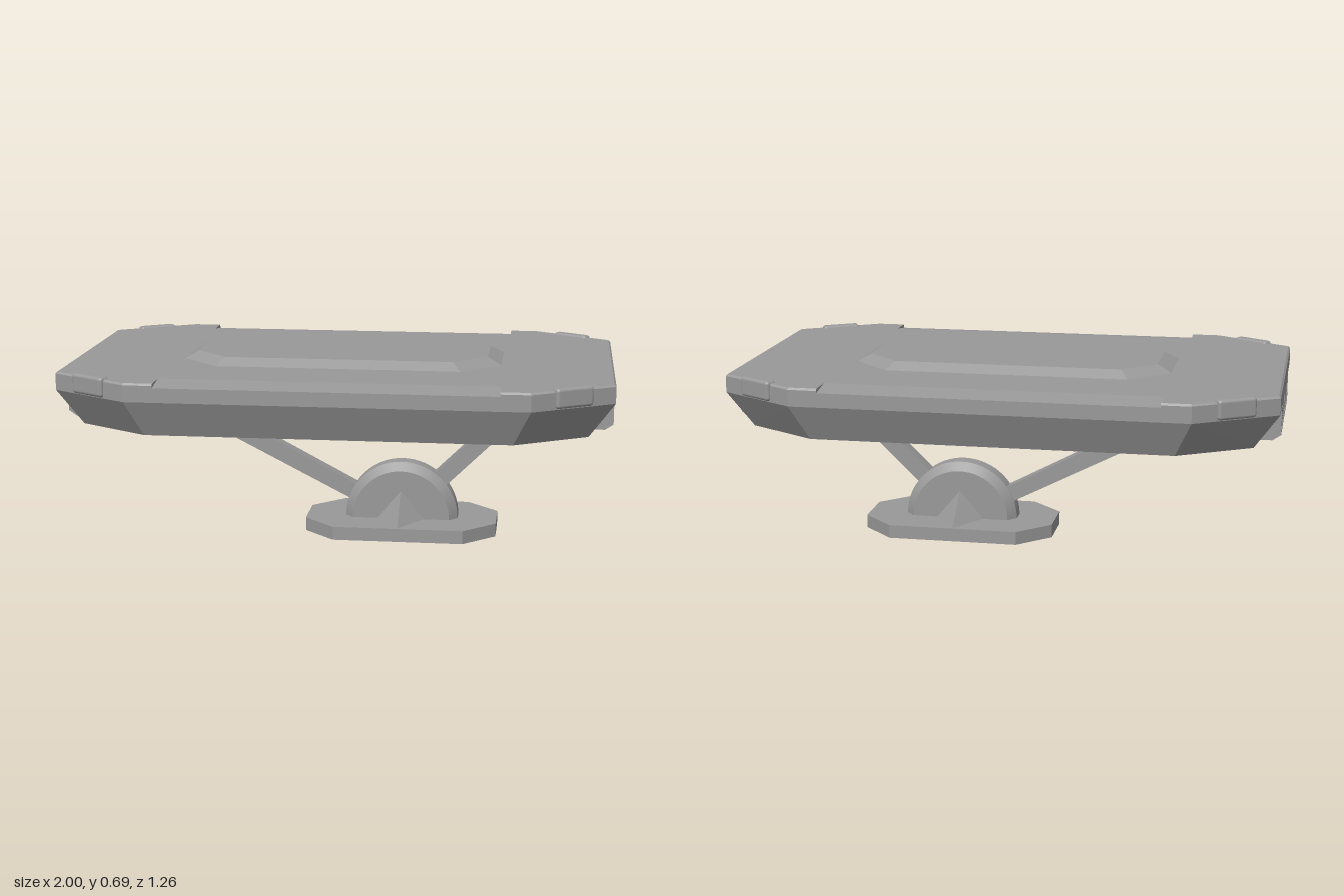
import * as THREE from 'three';
import { toCreasedNormals } from 'three/addons/utils/BufferGeometryUtils.js';
import { RoundedBoxGeometry } from 'three/addons/geometries/RoundedBoxGeometry.js';
import { ConvexGeometry } from 'three/addons/geometries/ConvexGeometry.js';

export function createModel() {
  const model = new THREE.Group();
  const grey = new THREE.MeshStandardMaterial({ color: 0x999999 });
  grey.name = 'grey metal';

  const add = (name, geometry, parent = model) => {
    const mesh = new THREE.Mesh(geometry, grey);
    mesh.name = name;
    parent.add(mesh);
    return mesh;
  };
  const V = (x, y, z) => new THREE.Vector3(x, y, z);
  const shapeOf = (pts) => new THREE.Shape(pts.map(([x, y]) => new THREE.Vector2(x, y)));
  // Outline in x/y, extruded symmetrically along z
  const slab = (pts, depth) =>
    new THREE.ExtrudeGeometry(shapeOf(pts), { depth, bevelEnabled: false }).translate(0, 0, -depth / 2);
  // Octagon ring with half sizes a, b and the start of the cut corners at ca, cb
  const octagon = (y, a, b, ca, cb, cx = 0) => {
    const pts = [];
    for (const sx of [-1, 1]) for (const sz of [-1, 1])
      pts.push(V(cx + sx * a, y, sz * cb), V(cx + sx * ca, y, sz * b));
    return pts;
  };

  // Middle of the table top, its long edges sloping down
  const middle = [];
  for (const [z, y] of [[0.57, 0.47], [0.63, 0.6], [0.63, 0.652], [0.53, 0.667]])
    for (const sx of [-1, 1]) for (const sz of [-1, 1]) middle.push(V(sx * 0.605, y, sz * z));
  add('tableMiddle', new ConvexGeometry(middle));

  // Raised panel on the table
  add('raisedPanel', new ConvexGeometry([
    ...octagon(0.66, 0.605, 0.29, 0.455, 0.14),
    ...octagon(0.694, 0.54, 0.235, 0.42, 0.115),
  ]));

  // Ends of the table: rings of [y, end x, corner x, side z, corner z]
  const rings = [
    [0.47, 0.91, 0.65, 0.57, 0.41],
    [0.6, 1, 0.71, 0.63, 0.45],
    [0.66, 1, 0.71, 0.63, 0.45],
    [0.667, 0.993, 0.707, 0.623, 0.446],
  ];
  for (const sx of [-1, 1]) {
    const pts = [];
    for (const [y, x, cx, z, cz] of rings)
      for (const sz of [-1, 1])
        pts.push(V(sx * 0.605, y, sz * z), V(sx * cx, y, sz * z), V(sx * x, y, sz * cz));
    add('tableEnd', new ConvexGeometry(pts));

    // Rounded pads on the cut corners
    for (const sz of [-1, 1]) {
      const pad = add('cornerPad', new RoundedBoxGeometry(0.15, 0.072, 0.042, 3, 0.012));
      pad.position.set(sx * 0.85, 0.639, sz * 0.532);
      pad.rotation.y = sx * sz * 0.555;
    }

    // Vent housing with two slatted openings
    const vent = new THREE.Group();
    vent.name = 'ventHousing';
    vent.rotation.y = sx > 0 ? 0 : Math.PI;
    model.add(vent);
    add('ventBody', slab([[0.88, 0.6], [0.88, 0.47], [0.97, 0.47], [1, 0.49], [0.985, 0.49], [0.985, 0.6]], 0.58), vent);
    const face = shapeOf([[-0.29, 0.49], [0.29, 0.49], [0.29, 0.6], [-0.29, 0.6]]);
    for (const s of [-1, 1]) {
      const c = s * 0.145;
      face.holes.push(new THREE.Path([[-1, 0.503], [-1, 0.588], [1, 0.588], [1, 0.503]]
        .map(([k, y]) => new THREE.Vector2(c + k * 0.125, y))));
      for (let i = 0; i < 20; i++)
        add('ventSlat', new THREE.BoxGeometry(0.013, 0.085, 0.008)
          .translate(0.9915, 0.5455, c + (i - 9.5) * 0.0125), vent);
    }
    add('ventFrame', new THREE.ExtrudeGeometry(face, { depth: 0.015, bevelEnabled: false })
      .rotateY(Math.PI / 2).translate(0.985, 0, 0), vent);
  }

  // Struts from the dome up to the table
  add('longStrut', slab([[-0.53, 0.472], [-0.68, 0.472], [0.09, 0.08], [0.12, 0.13]], 0.056));
  add('shortStrut', slab([[0.6, 0.472], [0.3, 0.18], [0.34, 0.13], [0.69, 0.472]], 0.056));

  // Half-round pivot with bevelled rims
  const profile = [[0, -0.063], [0.185, -0.063], [0.215, -0.03], [0.215, 0.03], [0.185, 0.063], [0, 0.063]]
    .map(([r, y]) => new THREE.Vector2(r, y));
  const dome = new THREE.LatheGeometry(profile, 32, -Math.PI / 2, Math.PI)
    .rotateX(-Math.PI / 2).translate(0.218, 0.05, 0);
  add('pivotDome', toCreasedNormals(dome, 0.5));

  // Wedge braces at the front and back of the pivot
  for (const sz of [-1, 1])
    add('pivotBrace', new ConvexGeometry([
      V(0.218, 0.16, sz * 0.06), V(0.122, 0.045, sz * 0.06),
      V(0.314, 0.045, sz * 0.06), V(0.218, 0.045, sz * 0.205),
    ]));

  // Foot plate
  add('footPlate', new ConvexGeometry([
    ...octagon(0, 0.362, 0.208, 0.244, 0.09, 0.218),
    ...octagon(0.05, 0.362, 0.208, 0.244, 0.09, 0.218),
  ]));

  return model;
}
